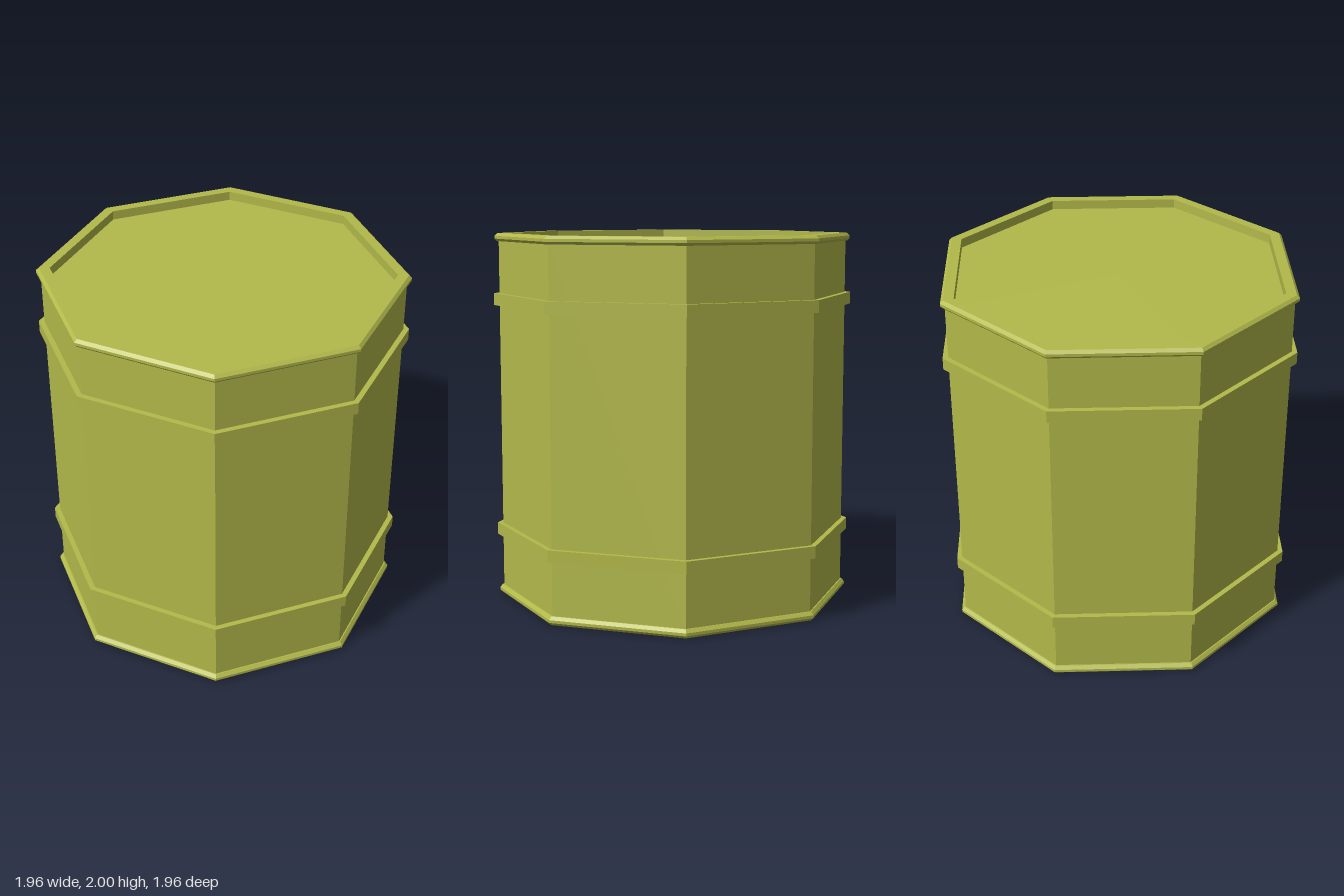
import * as THREE from 'three';

const SIDES = 8;

export function createModel() {
  const group = new THREE.Group();
  group.name = 'barrel';
  const paint = new THREE.MeshStandardMaterial({ color: 0xb2b94a });
  paint.name = 'olive paint';
  paint.flatShading = true;

  // Eight-sided ring or shell from [radius, height] points, listed upward on the outside
  const turned = (name, points) => {
    const profile = points.map(([r, y]) => new THREE.Vector2(r, y));
    const mesh = new THREE.Mesh(new THREE.LatheGeometry(profile, SIDES), paint);
    mesh.name = name;
    group.add(mesh);
    return mesh;
  };

  // Straight wall
  turned('body', [[0.95, 0.03], [0.95, 1.97]]);

  // Two raised hoops
  for (const [name, y] of [['lowerHoop', 0.335], ['upperHoop', 1.61]]) {
    turned(name, [[0.95, y], [0.98, y], [0.98, y + 0.065], [0.95, y + 0.065]]);
  }

  // Bevelled rims with their inner walls
  turned('topRim', [
    [0.95, 1.957], [0.96, 1.957], [0.973, 1.97], [0.973, 1.985],
    [0.957, 2], [0.9, 2], [0.9, 1.95],
  ]);
  turned('bottomRim', [
    [0.9, 0.05], [0.9, 0], [0.957, 0], [0.973, 0.015],
    [0.973, 0.03], [0.957, 0.047], [0.95, 0.047],
  ]);

  // Recessed end plates
  for (const [name, y, tilt] of [['lid', 1.95, -1], ['base', 0.05, 1]]) {
    const plate = new THREE.Mesh(new THREE.CircleGeometry(0.9, SIDES), paint);
    plate.name = name;
    plate.rotation.x = (tilt * Math.PI) / 2;
    plate.position.y = y;
    group.add(plate);
  }

  return group;
}
